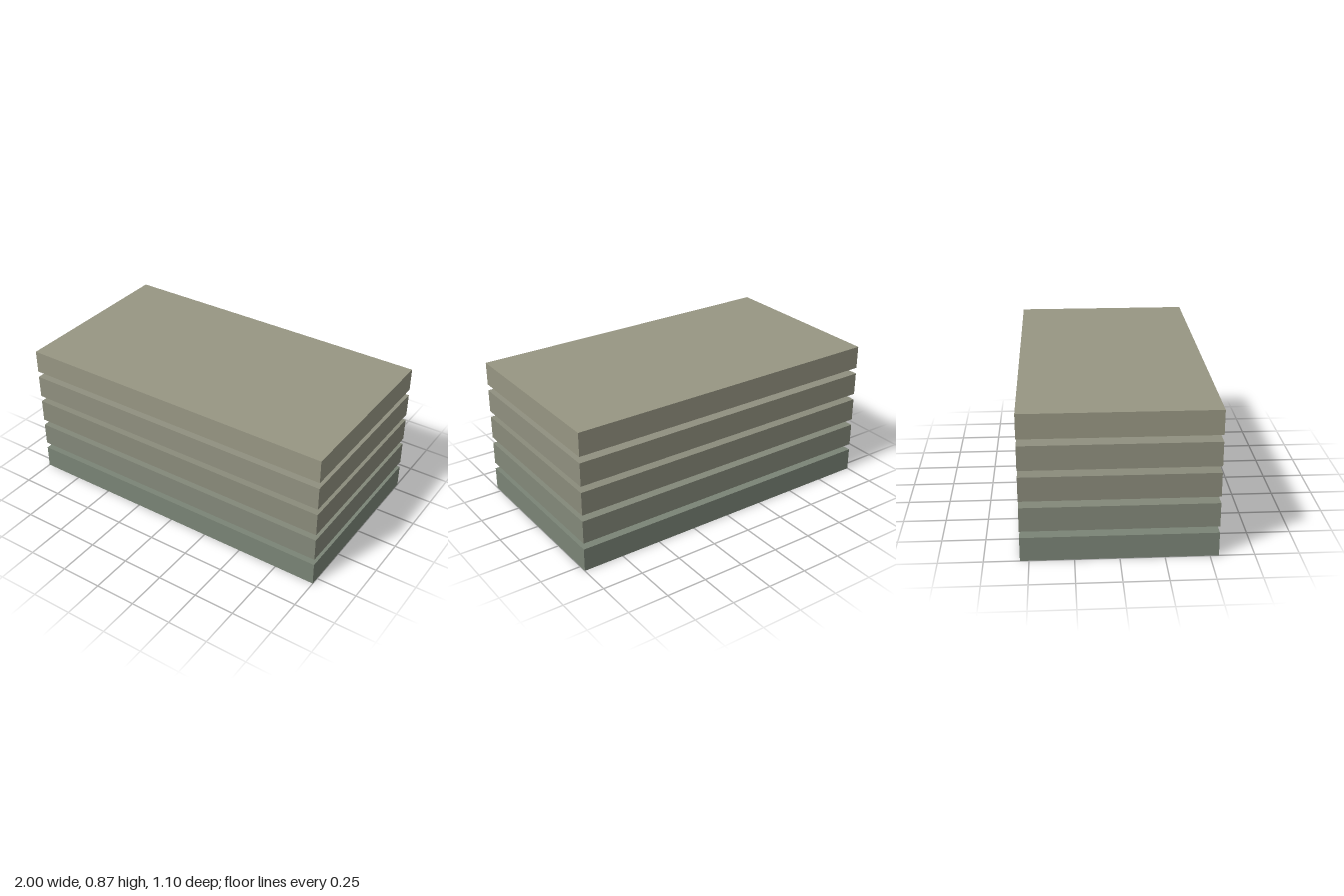
import * as THREE from 'three';

const WIDTH = 2, DEPTH = 1.1, THICKNESS = 0.142, PITCH = 0.181;

// Slab colours from bottom to top
const COLORS = [0x7a8476, 0x838879, 0x8a8b7b, 0x90907f, 0x979683];

export function createModel() {
  const group = new THREE.Group();
  group.name = 'slabStack';

  // Five equal slabs floating one above the other with narrow gaps
  const geometry = new THREE.BoxGeometry(WIDTH, THICKNESS, DEPTH);
  COLORS.forEach((color, i) => {
    const slab = new THREE.Mesh(geometry, new THREE.MeshStandardMaterial({ color }));
    slab.name = `slab${i + 1}`;
    slab.position.y = THICKNESS / 2 + i * PITCH;
    group.add(slab);
  });

  return group;
}
